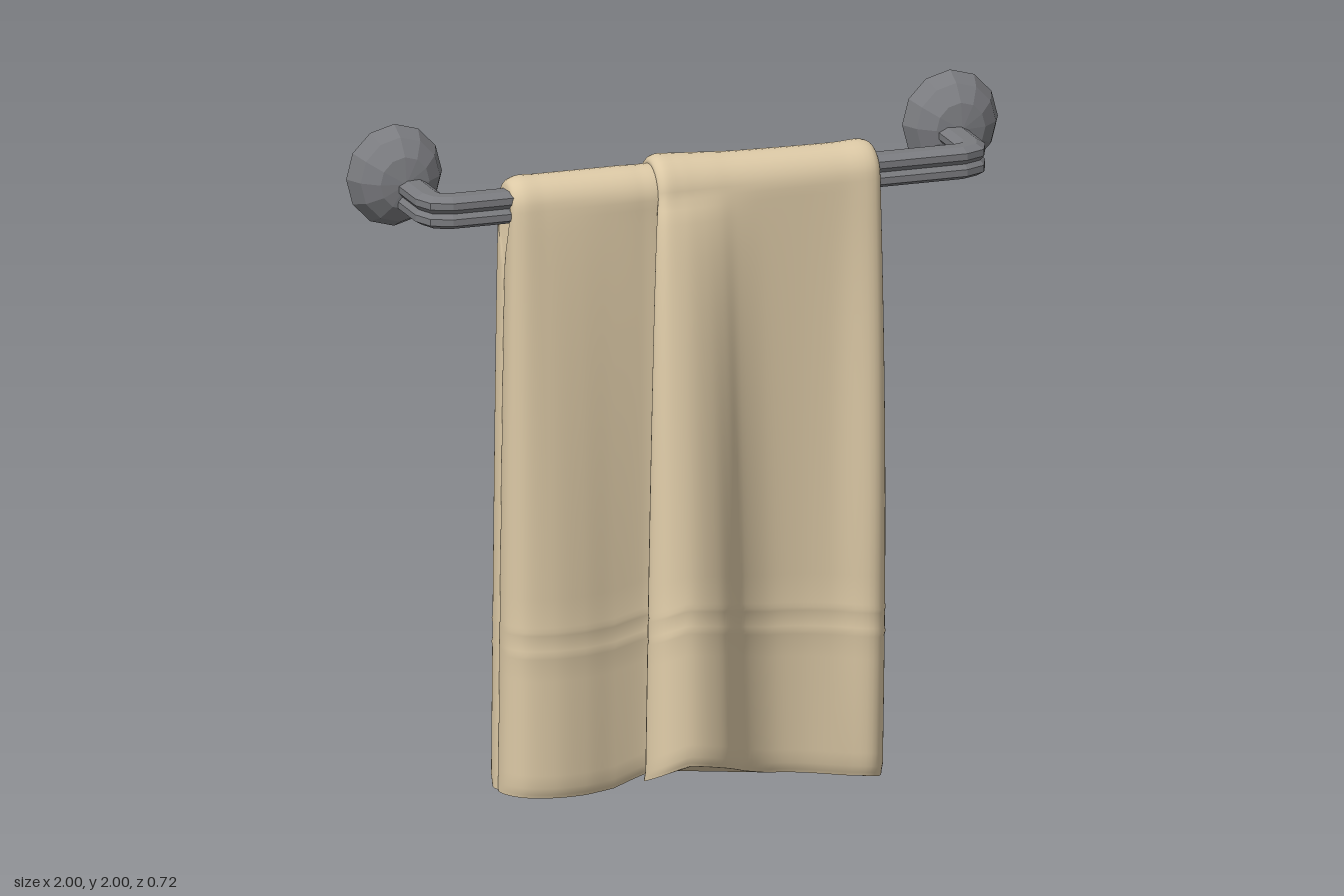
import * as THREE from 'three';

const { lerp, smoothstep } = THREE.MathUtils;
const metal = new THREE.MeshStandardMaterial({ color: 0x7a7b7f });
metal.name = 'grey metal';
const cloth = new THREE.MeshStandardMaterial({ color: 0xdbc8a5 });
cloth.name = 'beige cloth';

// Skin a list of closed loops (all with the same point count)
function loft(rows, extra = []) {
  const n = rows[0].length, index = [];
  for (let i = 0; i < rows.length - 1; i++) {
    for (let j = 0; j < n; j++) {
      const a = i * n + j, b = i * n + (j + 1) % n;
      index.push(a, a + n, b, b, a + n, b + n);
    }
  }
  const geo = new THREE.BufferGeometry();
  geo.setAttribute('position', new THREE.Float32BufferAttribute(rows.flat(2).concat(extra.flat(2)), 3));
  geo.setIndex(index);
  return geo;
}

function facet(geo) {
  const flat = geo.toNonIndexed();
  flat.computeVertexNormals();
  return flat;
}

function addMesh(parent, name, geo, mat) {
  const mesh = new THREE.Mesh(geo, mat);
  mesh.name = name;
  parent.add(mesh);
  return mesh;
}

// Smooth closed section through [x, depth] points
function section(points, count = 96) {
  const curve = new THREE.CatmullRomCurve3(points.map(([x, d]) => new THREE.Vector3(x, d, 0)), true);
  return Array.from({ length: count }, (_, i) => {
    const p = curve.getPoint(i / count);
    return [p.x, Math.max(0, p.y)];
  });
}

// Cloth panel: front hem, up and over the bar, down to the back hem
const BAR_Y = 1.8, GAP = 0.05, ARCH = 1.12;
const LEVELS = [0, 0.006, 0.018, 0.04, 0.08, 0.14, 0.2, 0.238, 0.245, 0.252, 0.278, 0.285, 0.292,
  0.34, 0.4, 0.47, 0.54, 0.61, 0.68, 0.75, 0.81, 0.86, 0.9, 0.93, 0.96, 0.985];
const RIDGES = [0.245, 0.285];

function drape(topKeys, frontKeys, backKeys, hemHeight) {
  const top = section(topKeys);
  const side = (keys, sign) => {
    const low = section(keys);
    return LEVELS.map((u) => low.map(([x, d], j) => {
      const hem = hemHeight(x, d, sign);
      const y = lerp(hem, BAR_Y, u);
      const w = Math.pow(1 - u, 0.65);
      const gap = Math.max(0.0005, GAP * smoothstep(y, 1.58, 1.79));
      let depth = lerp(top[j][1], d, w);
      if (depth > 0.03) {
        if (RIDGES.includes(u)) depth += 0.007;
        // front face bellies out near the free end
        if (sign > 0) depth += 0.03 * smoothstep(x, 0.36, 0.47) * Math.sin(Math.PI * u);
        // rounded hem edge
        depth -= 0.012 * (1 - smoothstep(u, 0, 0.018));
      }
      return [lerp(top[j][0], x, w), y, sign * Math.max(depth, gap)];
    }));
  };
  const front = side(frontKeys, 1), back = side(backKeys, -1);
  const arc = Array.from({ length: 15 }, (_, i) => {
    const t = Math.PI * i / 14;
    return top.map(([x, d]) => {
      const r = Math.max(d, GAP);
      return [x, BAR_Y + ARCH * r * Math.sin(t), r * Math.cos(t)];
    });
  });
  const rows = [...front, ...arc, ...back.slice().reverse()];
  const caps = [front[0], back[0]];
  const geo = loft(rows, caps);

  // Close both hems from underneath
  const index = Array.from(geo.index.array);
  caps.forEach((loop, c) => {
    const start = (rows.length + c) * loop.length;
    const pts = loop.map((p) => new THREE.Vector2(p[0], p[2]));
    for (const [a, b, e] of THREE.ShapeUtils.triangulateShape(pts, [])) {
      const up = THREE.ShapeUtils.area([pts[a], pts[b], pts[e]]) < 0;
      index.push(start + a, start + (up ? e : b), start + (up ? b : e));
    }
  });
  geo.setIndex(index);
  geo.computeVertexNormals();
  return geo;
}

function buildTowel() {
  const towel = new THREE.Group();
  towel.name = 'towel';

  // Wide panel with a deep curled fold on each side
  const wideTop = [[0.515, 0], [0.518, 0.065], [0.495, 0.086], [0.4, 0.086], [0.27, 0.087], [0.14, 0.089],
    [0.06, 0.091], [0.01, 0.094], [-0.05, 0.097], [-0.1, 0.1], [-0.15, 0.1], [-0.168, 0.087],
    [-0.166, 0.07], [-0.16, 0.045], [-0.15, 0.02], [-0.13, 0], [0.1, 0], [0.3, 0], [0.48, 0]];
  const wideFront = [[0.525, 0], [0.527, 0.06], [0.485, 0.112], [0.4, 0.1], [0.27, 0.085], [0.17, 0.1],
    [0.075, 0.16], [0.018, 0.24], [-0.05, 0.315], [-0.15, 0.355], [-0.235, 0.33], [-0.27, 0.26],
    [-0.24, 0.2], [-0.18, 0.15], [-0.13, 0.06], [-0.11, 0], [0.1, 0], [0.3, 0], [0.48, 0]];
  const wideBack = [[0.525, 0], [0.527, 0.06], [0.475, 0.112], [0.4, 0.1], [0.3, 0.085], [0.2, 0.095],
    [0.1, 0.14], [0, 0.21], [-0.08, 0.27], [-0.17, 0.297], [-0.25, 0.28], [-0.29, 0.22],
    [-0.25, 0.18], [-0.18, 0.12], [-0.13, 0.06], [-0.11, 0], [0.1, 0], [0.3, 0], [0.48, 0]];
  addMesh(towel, 'widePanel', drape(wideTop, wideFront, wideBack,
    (x, d, sign) => 0.004 + 0.13 * Math.max(0, 0.52 - x) + 0.3 * Math.max(0, d - 0.1)
      - (sign > 0 ? 0.45 : 0.1) * Math.max(0, -0.17 - x)), cloth);

  // Narrow panel tucked beneath the fold
  const narrowTop = [[-0.14, 0], [-0.14, 0.07], [-0.22, 0.079], [-0.32, 0.08], [-0.42, 0.08],
    [-0.51, 0.08], [-0.58, 0.079], [-0.608, 0.062], [-0.605, 0], [-0.57, 0], [-0.35, 0]];
  const narrowLow = [[-0.11, 0], [-0.11, 0.05], [-0.2, 0.05], [-0.3, 0.075], [-0.4, 0.112],
    [-0.5, 0.13], [-0.59, 0.112], [-0.632, 0.06], [-0.63, 0], [-0.58, 0], [-0.35, 0]];
  addMesh(towel, 'narrowPanel', drape(narrowTop, narrowLow, narrowLow,
    (x) => 0.04 + 0.25 * Math.max(0, x + 0.3) + 0.05 * Math.max(0, -0.4 - x)), cloth);
  return towel;
}

function buildRail() {
  const rail = new THREE.Group();
  rail.name = 'rail';

  // Grooved bar with both ends bent back to the wall
  const half = [[0.033, 0], [0.045, 0.014], [0.045, 0.034], [0.02, 0.048]];
  const profile = [
    ...half.slice(1).reverse().map(([a, b]) => [a, -b]), ...half,
    ...half.slice(1).reverse().map(([a, b]) => [-a, b]), ...half.map(([a, b]) => [-a, -b]),
  ];
  const bend = [[-0.83, -0.26], [-0.83, -0.04], [-0.817, -0.003], [-0.78, 0.012]];
  const path = [...bend, ...bend.slice().reverse().map(([x, z]) => [-x, z])];
  const rows = path.map(([x, z], i) => {
    const p = path[Math.max(0, i - 1)], q = path[Math.min(path.length - 1, i + 1)];
    const into = new THREE.Vector2(x - p[0], z - p[1]).normalize();
    const out = new THREE.Vector2(q[0] - x, q[1] - z).normalize();
    const t = into.add(out).normalize();
    return profile.map(([a, b]) => [x - t.y * a, 1.808 + b, z + t.x * a]);
  });
  addMesh(rail, 'bar', facet(loft(rows)), metal);

  // Faceted wall knobs
  const dome = [[0, -0.088], [0.055, -0.078], [0.108, -0.045], [0.147, 0],
    [0.122, 0.055], [0.075, 0.095], [0, 0.108]].map(([r, h]) => new THREE.Vector2(r, h));
  for (const s of [-1, 1]) {
    const knob = addMesh(rail, s > 0 ? 'leftKnob' : 'rightKnob', facet(new THREE.LatheGeometry(dome, 12)), metal);
    knob.rotation.x = Math.PI / 2;
    knob.scale.z = 1.04;
    knob.position.set(s * 0.853, 1.847, -0.275);
  }
  return rail;
}

export function createModel() {
  const model = new THREE.Group();
  model.name = 'towelRail';
  model.add(buildRail(), buildTowel());
  return model;
}
